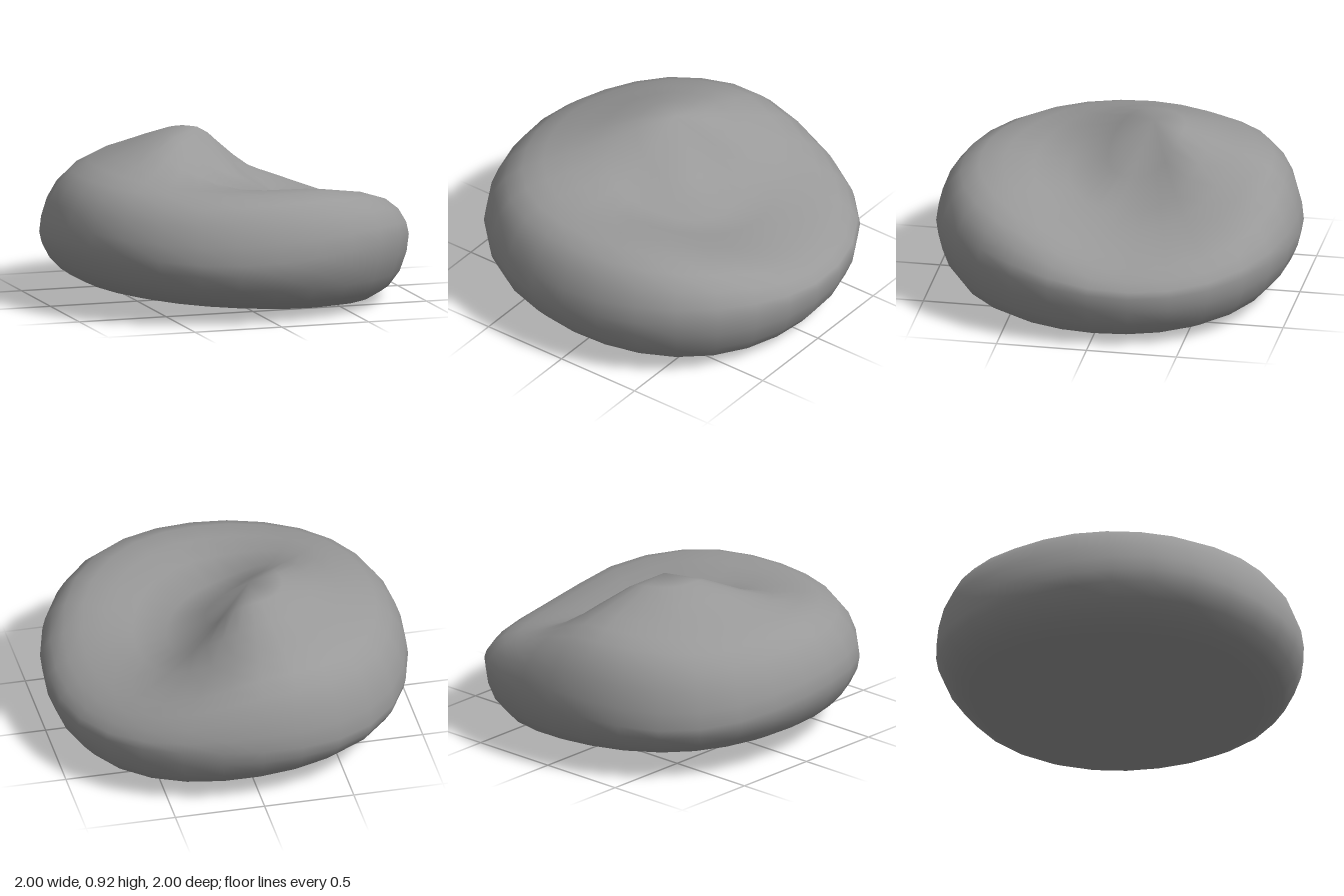
import * as THREE from 'three';
import { mergeVertices } from 'three/addons/utils/BufferGeometryUtils.js';

// The summit, and the heights of the upper surface on three rings around it
// (radius 0.3, 0.6, 0.9), every 30 degrees from +x towards +z.
const SUMMIT = new THREE.Vector3(-0.1, 0.925, -0.17);
const RINGS = [
  [0.58, 0.58, 0.61, 0.67, 0.77, 0.86, 0.88, 0.88, 0.88, 0.87, 0.80, 0.65],
  [0.53, 0.59, 0.67, 0.69, 0.72, 0.77, 0.79, 0.785, 0.80, 0.80, 0.65, 0.54],
  [0.50, 0.66, 0.75, 0.765, 0.75, 0.74, 0.74, 0.72, 0.75, 0.75, 0.59, 0.49],
];

// Smooth curve through b and c
const spline = (a, b, c, d, t) =>
  b + 0.5 * t * (c - a + t * (2 * a - 5 * b + 4 * c - d + t * (3 * (b - c) + d - a)));

function ringHeight(ring, angle) {
  const s = (angle / (2 * Math.PI)) * 12;
  const i = Math.floor(s);
  const at = (k) => ring[(k + 24) % 12];
  return spline(at(i - 1), at(i), at(i + 1), at(i + 2), s - i);
}

function topHeight(r, angle) {
  const [a, b, c] = RINGS.map((ring) => ringHeight(ring, angle));
  const opposite = ringHeight(RINGS[0], angle + Math.PI);
  const knots = [opposite, SUMMIT.y, a, b, c, 2 * c - b];
  const s = r / 0.3;
  const i = Math.min(2, Math.floor(s));
  return spline(knots[i], knots[i + 1], knots[i + 2], knots[i + 3], s - i);
}

// Tilted underside with a dent towards the back
const bottomHeight = (x, z) =>
  0.045 - 0.07 * x + 0.11 * Math.exp(-((x + 0.08) ** 2 + (z + 0.33) ** 2) / 0.11);

function bodyGeometry(rows = 18, cols = 28) {
  const positions = [];
  const index = [];
  for (let i = 0; i <= rows; i++) {
    const v = (2 * i) / rows - 1; // -1 summit, 0 rim, 1 bottom centre
    const r = 1 - v * v;
    const round = Math.pow(1 - r ** 8, 0.6); // rounded shoulder
    const shift = v < 0 ? 1 - r : 0; // upper rings close in on the summit
    for (let j = 0; j < cols; j++) {
      const angle = (j / cols) * Math.PI * 2;
      const reach = r * (1 + 0.03 * Math.sin(2 * angle) ** 2);
      const x = reach * Math.cos(angle) + shift * SUMMIT.x;
      const z = reach * Math.sin(angle) + shift * SUMMIT.z;
      const mid = 0.36 - 0.03 * x + 0.08 * x * z * (x + z);
      const edge = v < 0 ? topHeight(r, angle) : bottomHeight(x, z);
      positions.push(x, mid + (edge - mid) * round, z);
      if (i < rows) {
        const a = i * cols + j;
        const b = i * cols + ((j + 1) % cols);
        index.push(a, b, a + cols, b, b + cols, a + cols);
      }
    }
  }
  const geometry = new THREE.BufferGeometry();
  geometry.setAttribute('position', new THREE.Float32BufferAttribute(positions, 3));
  geometry.setIndex(index);
  const merged = mergeVertices(geometry, 1e-5);
  merged.computeVertexNormals();
  return merged;
}

export function createModel() {
  const group = new THREE.Group();
  group.name = 'boulder';
  // Rounded stone body with a ridge and a hollow
  const stone = new THREE.Mesh(bodyGeometry(), new THREE.MeshStandardMaterial({ color: 0x999999 }));
  stone.name = 'stone';
  group.add(stone);
  return group;
}
